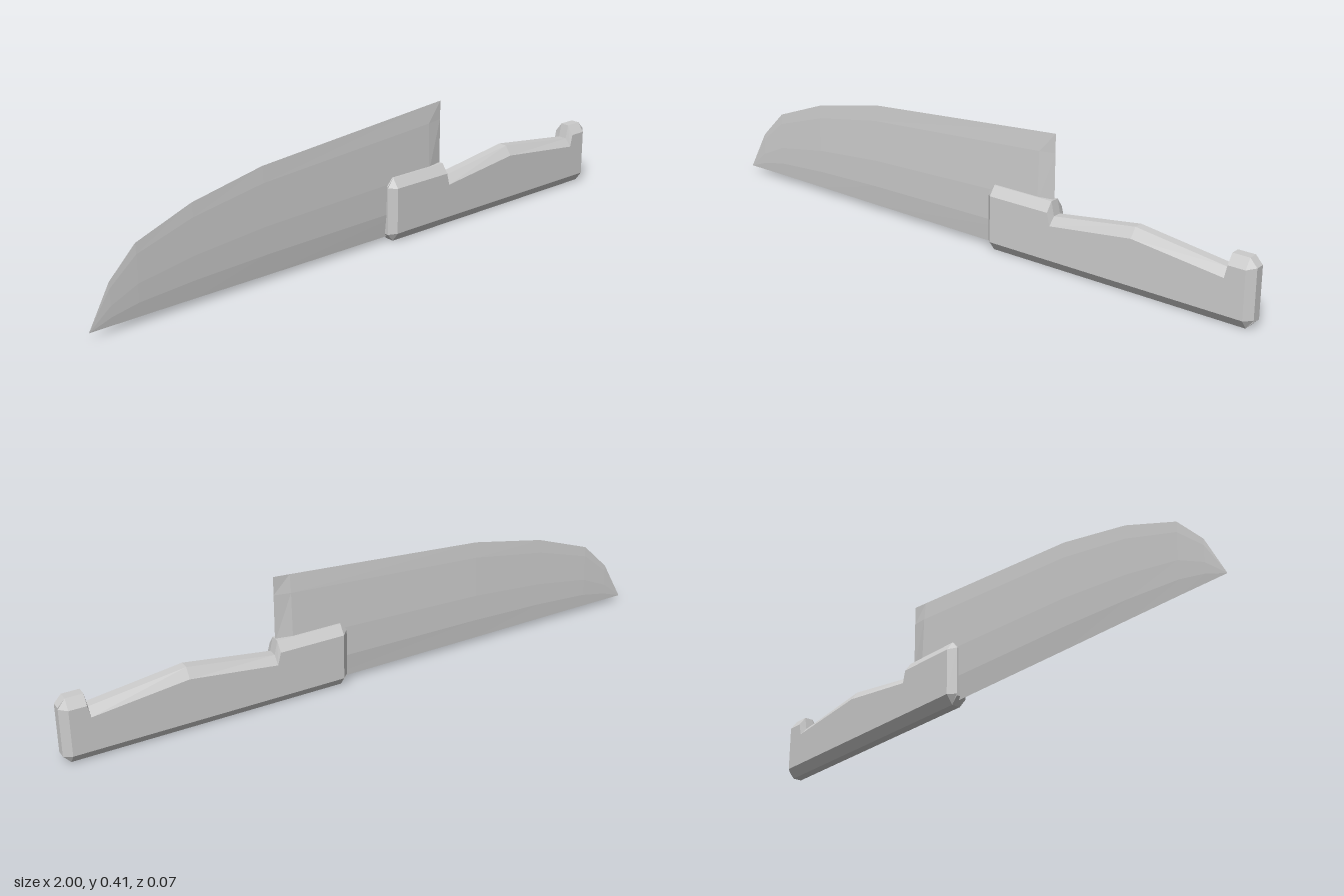
import * as THREE from 'three';

// Skin a row of equal-length cross-section loops running along +x, and cap the ends
function loft(sections) {
  const positions = [];
  const ab = new THREE.Vector3(), ac = new THREE.Vector3();
  const tri = (a, b, c) => {
    ab.subVectors(b, a);
    ac.subVectors(c, a);
    if (ab.cross(ac).length() < 1e-9) return; // skip collapsed faces
    for (const p of [a, b, c]) positions.push(p.x, p.y, p.z);
  };
  const n = sections[0].length;
  for (let i = 0; i < sections.length - 1; i++) {
    const s = sections[i], t = sections[i + 1];
    for (let j = 0; j < n; j++) {
      const k = (j + 1) % n;
      tri(s[j], s[k], t[j]);
      tri(s[k], t[k], t[j]);
    }
  }
  const first = sections[0], last = sections[sections.length - 1];
  for (let j = 1; j < n - 1; j++) {
    tri(first[0], first[j + 1], first[j]);
    tri(last[0], last[j], last[j + 1]);
  }
  const geometry = new THREE.BufferGeometry();
  geometry.setAttribute('position', new THREE.Float32BufferAttribute(positions, 3));
  geometry.computeVertexNormals();
  return geometry;
}

// Loop mirrored in z from a half profile of [y, halfWidth], bottom to top
function mirroredLoop(x, half) {
  const back = half.map(([y, w]) => new THREE.Vector3(x, y, -w));
  const front = half.map(([y, w]) => new THREE.Vector3(x, y, w)).reverse();
  return [...back, ...front];
}

export function createModel() {
  const group = new THREE.Group();
  const material = new THREE.MeshStandardMaterial({ color: 0xcccccc, flatShading: true });
  const add = (name, geometry) => {
    const mesh = new THREE.Mesh(geometry, material);
    mesh.name = name;
    group.add(mesh);
  };

  // Blade: x, bottom edge, spine, half thickness; sharp all round
  const blade = [
    [-1, 0.02, 0.022, 0],
    [-0.93, 0.02, 0.15, 0.003],
    [-0.84, 0.02, 0.24, 0.005],
    [-0.65, 0.019, 0.31, 0.007],
    [-0.4, 0.017, 0.36, 0.009],
    [0.26, 0.014, 0.411, 0.011],
    [0.315, 0.014, 0.415, 0],
  ].map(([x, y0, y1, w]) => mirroredLoop(x,
    [[0, 0], [0.2, 0.85], [0.46, 1], [0.85, 0.5], [1, 0]]
      .map(([f, k]) => [y0 + (y1 - y0) * f, w * k])));
  add('blade', loft(blade));

  // Handle: bevelled section with a grip recess in the top; x, side top, crown
  const wide = 0.037, narrow = 0.015;
  const end = (x) => mirroredLoop(x,
    [[0.025, narrow], [0.03, narrow], [0.18, narrow], [0.185, narrow]]);
  const body = [
    [0.1, 0.18, 0.21],
    [0.315, 0.18, 0.21],
    [0.325, 0.14, 0.165],
    [0.61, 0.175, 0.205],
    [0.913, 0.14, 0.165],
    [0.922, 0.18, 0.21],
    [0.977, 0.18, 0.21],
  ].map(([x, side, crown]) => mirroredLoop(x,
    [[0, narrow], [0.03, wide], [side, wide], [crown, narrow]]));
  add('handle', loft([end(0.078), ...body, end(1)]));

  return group;
}
